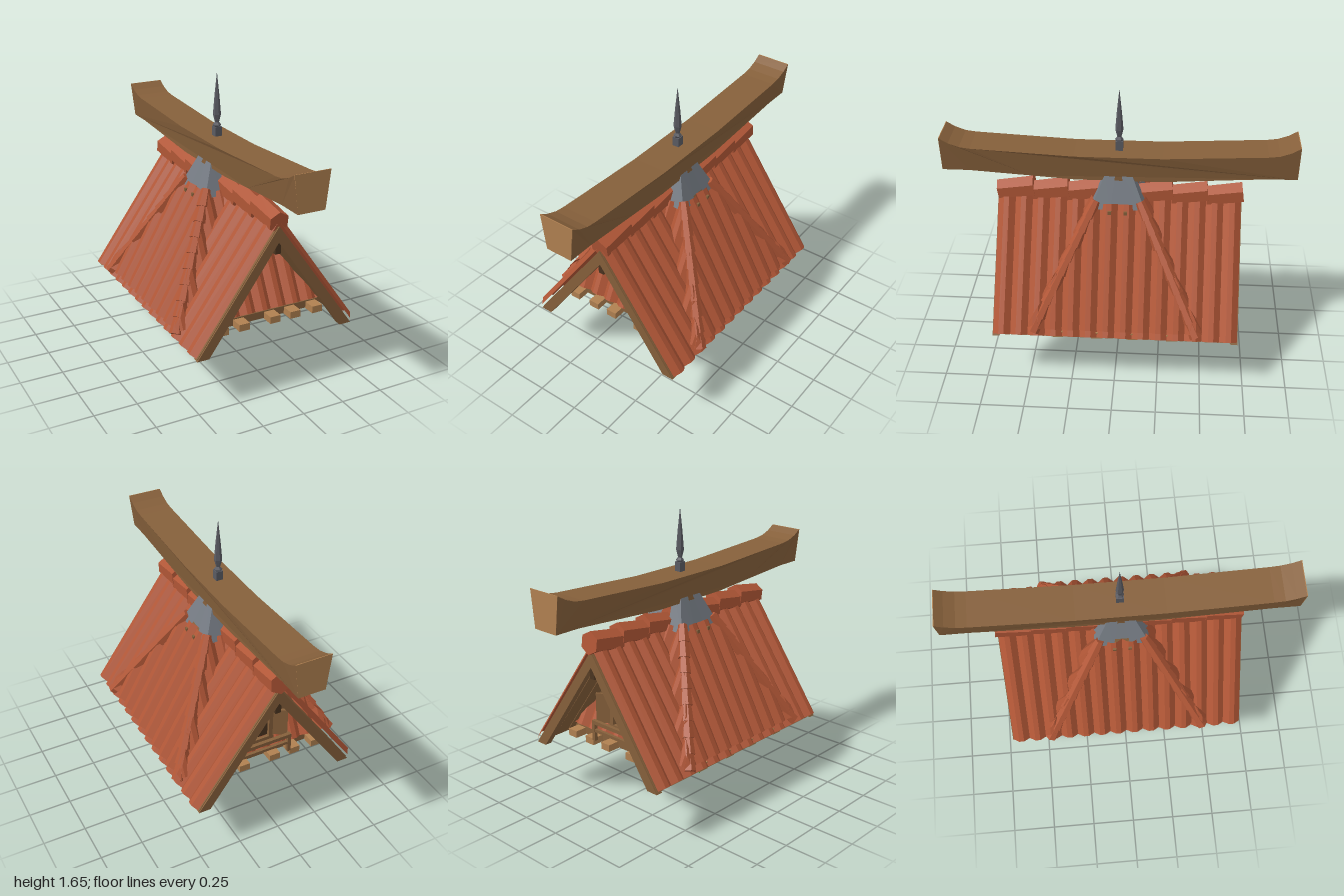
import * as THREE from 'three';
import { mergeGeometries } from 'three/addons/utils/BufferGeometryUtils.js';

const mat = (name, color, side = THREE.FrontSide) => {
  const m = new THREE.MeshStandardMaterial({ color, side, flatShading: true });
  m.name = name;
  return m;
};

export function createModel() {
  const wood = mat('wood', 0x86603b, THREE.DoubleSide);
  const paleWood = mat('pale wood', 0xb08050);
  const darkWood = mat('dark wood', 0x4a3420);
  const tile = mat('terracotta', 0xb05636, THREE.DoubleSide);
  const slate = mat('slate', 0x757b83, THREE.DoubleSide);
  const iron = mat('iron', 0x5a5b62);
  const leaf = mat('leaf green', 0x4c7f2d, THREE.DoubleSide);

  const model = new THREE.Group();
  model.name = 'tiledRoof';
  const add = (name, geo, material, x = 0, y = 0, z = 0, parent = model) => {
    const m = new THREE.Mesh(geo, material);
    m.name = name;
    m.position.set(x, y, z);
    parent.add(m);
    return m;
  };
  const box = (name, w, h, d, material, x, y, z, parent) =>
    add(name, new THREE.BoxGeometry(w, h, d), material, x, y, z, parent);
  const shapeOf = (pts) => new THREE.Shape(pts.map(([x, y]) => new THREE.Vector2(x, y)));
  const extrude = (pts, depth) =>
    new THREE.ExtrudeGeometry(shapeOf(pts), { depth, bevelEnabled: false });

  // Corrugated sheet facing +z: across x, sloping from (y0, d0) up to (y1, d1)
  const sheet = (half, y0, d0, y1, d1, limit) => {
    const len = Math.hypot(y1 - y0, d0 - d1);
    const ny = (d0 - d1) / len, nz = (y1 - y0) / len;
    const us = [];
    for (let c = 0; c < Math.round(half * 20); c++) {
      for (const [f, h] of [[0, 0], [0.035, 0.028], [0.065, 0.028]]) us.push([-half + c * 0.1 + f, h]);
    }
    us.push([half, 0]);
    const point = ([u, h], t) =>
      [u, y0 + (y1 - y0) * t + ny * h, d0 + (d1 - d0) * t + nz * h];
    const pos = [];
    for (let i = 0; i + 1 < us.length; i++) {
      const a = us[i], b = us[i + 1];
      const A = point(a, 0), B = point(b, 0), C = point(b, limit(b[0])), D = point(a, limit(a[0]));
      pos.push(...A, ...B, ...C, ...A, ...C, ...D);
    }
    const g = new THREE.BufferGeometry();
    g.setAttribute('position', new THREE.Float32BufferAttribute(pos, 3));
    g.computeVertexNormals();
    return g;
  };

  // Gable roof: tiles above, planks below
  for (const s of [1, -1]) {
    add('gableTiles', sheet(0.7, 0.32, 0.49, 1.01, 0, () => 1), tile).rotation.y = s * Math.PI / 2;
  }
  const chevron = (top, inner, foot, xo, xi) =>
    [[0, top], [-xo, foot], [-xi, foot], [0, inner], [xi, foot], [xo, foot]];
  for (let i = 0; i < 14; i++) {
    add('roofPlank', extrude(chevron(0.985, 0.95, 0.31, 0.482, 0.457), 0.094), wood, 0, 0, -0.697 + i * 0.1);
  }
  // Verge boards and pendants at both gable ends
  for (const s of [1, -1]) {
    add('vergeBoard', extrude(chevron(0.98, 0.89, 0.3, 0.485, 0.415), 0.04), wood, 0, 0, s * 0.685 - 0.02);
    box('gablePendant', 0.035, 0.1, 0.035, darkWood, 0, 0.87, s * 0.68);
  }

  // Tapered six-sided cap tile lying between two points
  const cap = (name, a, b, r0, r1) => {
    const dir = b.clone().sub(a);
    const m = add(name, new THREE.CylinderGeometry(r1, r0, dir.length(), 6), tile);
    m.position.copy(a).add(b).multiplyScalar(0.5);
    m.quaternion.setFromUnitVectors(new THREE.Vector3(0, 1, 0), dir.normalize());
  };
  for (let i = 0; i < 7; i++) {
    const z = 0.7 - i * 0.2;
    cap('ridgeTile', new THREE.Vector3(0, 1.0, z), new THREE.Vector3(0, 1.03, z - 0.21), 0.062, 0.066);
  }

  // Hipped roof crossing the gable
  const limit = (u) => THREE.MathUtils.clamp((0.5 - Math.abs(u)) / 0.36, 0, 1);
  for (let k = 0; k < 4; k++) {
    const d = k % 2 ? 0.49 : 0.47;
    add('hipTiles', sheet(0.5, 0.37, d, 1.0, 0.13, limit), tile).rotation.y = k * Math.PI / 2;
  }
  const lining = new THREE.CylinderGeometry(0.11 * Math.SQRT2, 0.455 * Math.SQRT2, 0.63, 4, 1, true);
  lining.rotateY(Math.PI / 4);
  add('roofLining', lining, wood, 0, 0.675, 0);
  for (const sx of [1, -1]) for (const sz of [1, -1]) {
    const foot = new THREE.Vector3(sx * 0.5, 0.355, sz * 0.465);
    const head = new THREE.Vector3(sx * 0.14, 1.01, sz * 0.13);
    for (let i = 0; i < 9; i++) {
      cap('hipCapTile', foot.clone().lerp(head, i / 9), foot.clone().lerp(head, (i + 1.15) / 9), 0.036, 0.026);
    }
  }

  // Slate collar under the beam: split plates over a recessed core
  const collar = new THREE.Group();
  collar.name = 'slateCollar';
  model.add(collar);
  for (let k = 0; k < 4; k++) for (const s of [1, -1]) {
    const P = [[s * 0.018, 1.165, 0.075], [s * 0.045, 0.98, 0.155], [s * 0.155, 0.975, 0.155], [s * 0.075, 1.165, 0.075]];
    const g = new THREE.BufferGeometry();
    g.setAttribute('position', new THREE.Float32BufferAttribute([0, 1, 2, 0, 2, 3].flatMap((i) => P[s > 0 ? i : 3 - i]), 3));
    g.computeVertexNormals();
    add('collarPlate', g, slate, 0, 0, 0, collar).rotation.y = k * Math.PI / 2;
  }
  const core = new THREE.CylinderGeometry(0.055 * Math.SQRT2, 0.125 * Math.SQRT2, 0.17, 4, 1, true);
  core.rotateY(Math.PI / 4);
  add('collarCore', core, slate, 0, 1.075, 0, collar);
  for (const sx of [1, -1]) for (const sz of [1, -1]) {
    box('collarPeg', 0.05, 0.03, 0.02, wood, sx * 0.16, 0.965, sz * 0.045);
  }

  // Curved ridge beam, narrower underneath, with pale end grain
  const top = [[0.25, 1.285], [0.83, 1.315], [0.89, 1.323], [0.95, 1.345], [1, 1.375]];
  const under = [[1, 1.165], [0.85, 1.165], [0.5, 1.142], [0.25, 1.125]];
  const half = [...top, ...under];
  const outline = [...half, ...half.slice().reverse().map(([z, y]) => [-z, y])];
  const beam = extrude(outline, 2);
  beam.translate(0, 0, -1).rotateY(-Math.PI / 2);
  const bp = beam.attributes.position;
  for (let i = 0; i < bp.count; i++) {
    bp.setX(i, Math.sign(bp.getX(i)) * (bp.getY(i) > 1.22 ? 0.105 : 0.08));
  }
  beam.computeVertexNormals();
  add('ridgeBeam', beam, wood);
  const grain = [[-0.08, 1.165], [0.08, 1.165], [0.105, 1.375], [-0.105, 1.375]];
  for (const s of [1, -1]) add('beamEnd', extrude(grain, 0.004), paleWood, 0, 0, s * 0.999 - 0.002);

  // Spire
  box('spireBase', 0.042, 0.06, 0.042, iron, 0, 1.31, 0);
  const spire = [[0.014, 1.33], [0.024, 1.35], [0.012, 1.365], [0.016, 1.38], [0.023, 1.41], [0.014, 1.52], [0, 1.655]];
  add('spire', new THREE.LatheGeometry(spire.map(([r, y]) => new THREE.Vector2(r, y)), 6), iron);

  // Floor frame with projecting joist ends
  for (const s of [1, -1]) {
    box('frameBeam', 0.88, 0.045, 0.12, wood, 0, 0.33, s * 0.39);
    box('frameBeam', 0.12, 0.045, 0.8, wood, s * 0.38, 0.325, 0);
    for (const x of [-0.38, -0.233, -0.1, 0.1, 0.233, 0.38]) {
      box('joistEnd', 0.066, 0.042, 0.14, paleWood, x, 0.325, s * 0.455);
    }
    for (const z of [-0.33, -0.1, 0.1, 0.33]) {
      box('joistEnd', 0.13, 0.042, 0.066, paleWood, s * 0.415, 0.325, z);
    }
  }
  box('crossBeam', 0.7, 0.045, 0.06, wood, 0, 0.35, 0);
  box('ceilingPanel', 0.36, 0.02, 0.36, slate, 0, 0.66, 0);

  // Back loft window with plank wall, shutters and rail
  const loft = new THREE.Group();
  loft.name = 'loftWindow';
  model.add(loft);
  for (let i = 0; i < 5; i++) box('wallPlank', 0.4, 0.054, 0.16, wood, 0, 0.395 + i * 0.058, -0.37, loft);
  box('windowOpening', 0.17, 0.17, 0.008, darkWood, 0, 0.54, -0.452, loft);
  for (const s of [1, -1]) {
    box('windowPost', 0.025, 0.22, 0.03, wood, s * 0.095, 0.54, -0.46, loft);
    box('windowRail', 0.23, 0.025, 0.03, wood, 0, 0.54 + s * 0.1, -0.46, loft);
    box('shutter', 0.09, 0.18, 0.015, wood, s * 0.15, 0.54, -0.48, loft).rotation.y = s * 0.5;
    box('railPost', 0.022, 0.12, 0.022, wood, s * 0.19, 0.4, -0.52, loft);
    box('railSide', 0.02, 0.02, 0.09, wood, s * 0.19, 0.45, -0.48, loft);
  }
  box('railTop', 0.4, 0.022, 0.022, wood, 0, 0.455, -0.52, loft);
  box('railMiddle', 0.4, 0.018, 0.018, wood, 0, 0.405, -0.52, loft);

  // Hanging vines: strands of angular leaves getting smaller downwards
  let seed = 7;
  const rnd = () => (seed = (seed * 16807) % 2147483647) / 2147483647;
  const leaves = [];
  for (const [x, low] of [[-0.2, 0.25], [-0.13, 0.05], [-0.08, 0.16], [-0.03, 0.02], [0.03, 0.02], [0.08, 0.09], [0.13, 0.25]]) {
    for (const z of [0.015, -0.025]) {
      for (let y = low; y < 0.36; y += 0.02) {
        const r = 0.012 + Math.min(0.026, (y - low) * 0.2) * (0.6 + 0.5 * rnd());
        const g = new THREE.CircleGeometry(r, 3 + Math.floor(rnd() * 3));
        g.rotateZ(rnd() * 6).rotateY((rnd() - 0.5) * 0.9).rotateX((rnd() - 0.5) * 0.6);
        g.translate(x + (rnd() - 0.5) * 0.05, Math.max(y, r), z + (rnd() - 0.5) * 0.02);
        leaves.push(g);
      }
    }
  }
  add('hangingVines', mergeGeometries(leaves), leaf);

  return model;
}
